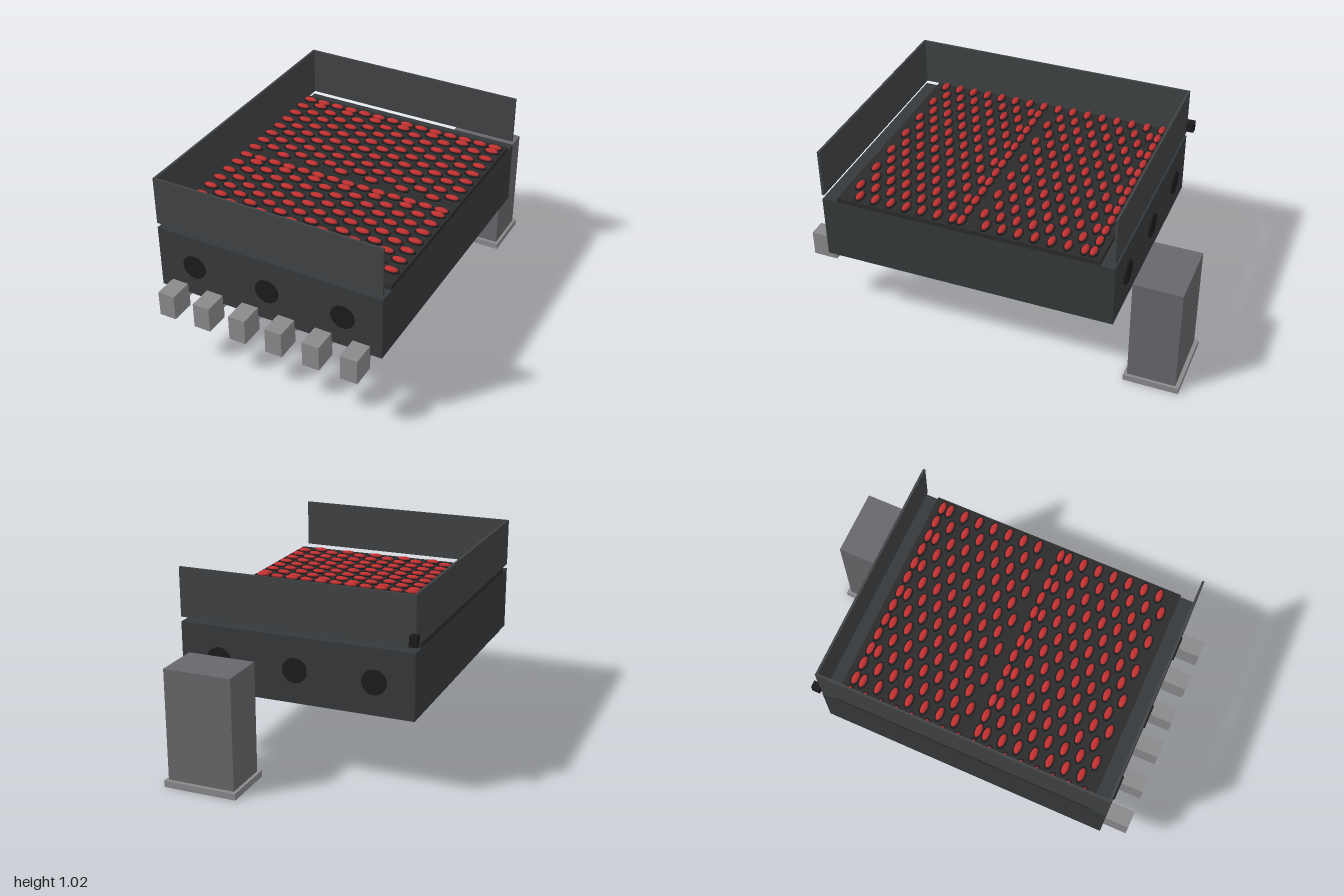
import * as THREE from 'three';
import { mergeGeometries } from 'three/addons/utils/BufferGeometryUtils.js';

const paint = (color) => new THREE.MeshStandardMaterial({ color });

export function createModel() {
  const model = new THREE.Group();
  const bodyMat = paint(0x36393b), wallMat = paint(0x404344), bedMat = paint(0x2b2b2b);
  const darkMat = paint(0x1c1c1f), beadMat = paint(0xc03030), panelMat = paint(0x1c1e28);
  const towerMat = paint(0x68686c), lightMat = paint(0x8a8a8d);

  function add(name, geometry, material, x = 0, y = 0, z = 0) {
    const mesh = new THREE.Mesh(geometry, material);
    mesh.name = name;
    mesh.position.set(x, y, z);
    model.add(mesh);
    return mesh;
  }
  // Box given by its limits on each axis
  function box(name, material, [x0, x1], [y0, y1], [z0, z1]) {
    return add(name, new THREE.BoxGeometry(x1 - x0, y1 - y0, z1 - z0), material,
      (x0 + x1) / 2, (y0 + y1) / 2, (z0 + z1) / 2);
  }

  const X = [-0.605, 0.62], Z = [-0.665, 0.875], t = 0.012;

  // Main housing and the bed plate on top of it
  box('housing', bodyMat, X, [0.4, 0.74], Z);
  box('bedPlate', bedMat, X, [0.74, 0.765], [-0.59, 0.79]);

  // Guard walls on three sides, the +x side stays open
  const wallY = [0.765, 1.02];
  box('sideWall', wallMat, [X[0], X[0] + t], wallY, Z);
  box('backWall', wallMat, [X[0] + t, X[1]], wallY, [Z[0], Z[0] + t]);
  box('frontWall', wallMat, [X[0] + t, X[1]], wallY, [Z[1] - t, Z[1]]);
  box('cornerLatch', darkMat, [-0.622, -0.584], [0.78, 0.835], [-0.705, -0.663]);

  // Round ports on the front and back faces
  const port = new THREE.CylinderGeometry(0.063, 0.063, 0.014, 32).rotateX(Math.PI / 2);
  for (const x of [-0.402, 0.007, 0.415]) {
    add('frontPort', port, darkMat, x, 0.57, Z[1]);
    add('backPort', port, darkMat, x, 0.57, Z[0] - 0.002);
  }

  // Two fields of staggered oval rollers, each in a dark oval seat
  const bead = new THREE.SphereGeometry(1, 14, 8).scale(0.036, 0.012, 0.017);
  const seat = new THREE.CylinderGeometry(1, 1, 0.006, 16).scale(0.045, 1, 0.024);
  const beads = [], seats = [], pitch = 0.0847;
  for (const start of [-0.54, 0.138]) {
    for (let col = 0; col < 14; col++) {
      for (let row = 0; row < 8; row++) {
        const x = -0.557 + col * 0.0864;
        const z = Math.max(start, start + (row - (col % 2) / 2) * pitch);
        beads.push(bead.clone().translate(x, 0.774, z));
        seats.push(seat.clone().translate(x, 0.767, z));
      }
    }
  }
  add('rollers', mergeGeometries(beads), beadMat);
  add('rollerSeats', mergeGeometries(seats), darkMat);

  // Row of front blocks, each with a short stub under the housing
  const stub = new THREE.CylinderGeometry(0.0425, 0.0425, 0.085, 20).rotateX(Math.PI / 2);
  for (let i = 0; i < 6; i++) {
    const x = -0.498 + i * 0.202;
    box('frontBlock', lightMat, [x - 0.045, x + 0.045], [0.315, 0.45], [0.87, 1]);
    add('blockStub', stub, lightMat, x, 0.3825, 0.8075);
  }

  // Free-standing control cabinet behind the housing
  box('cabinet', towerMat, [0.19, 0.545], [0.033, 0.61], [-0.98, -0.73]);
  box('cabinetBase', lightMat, [0.173, 0.56], [0, 0.034], [-1, -0.713]);
  box('cabinetPanel', panelMat, [0.24, 0.487], [0.375, 0.56], [-0.732, -0.718]);

  return model;
}
